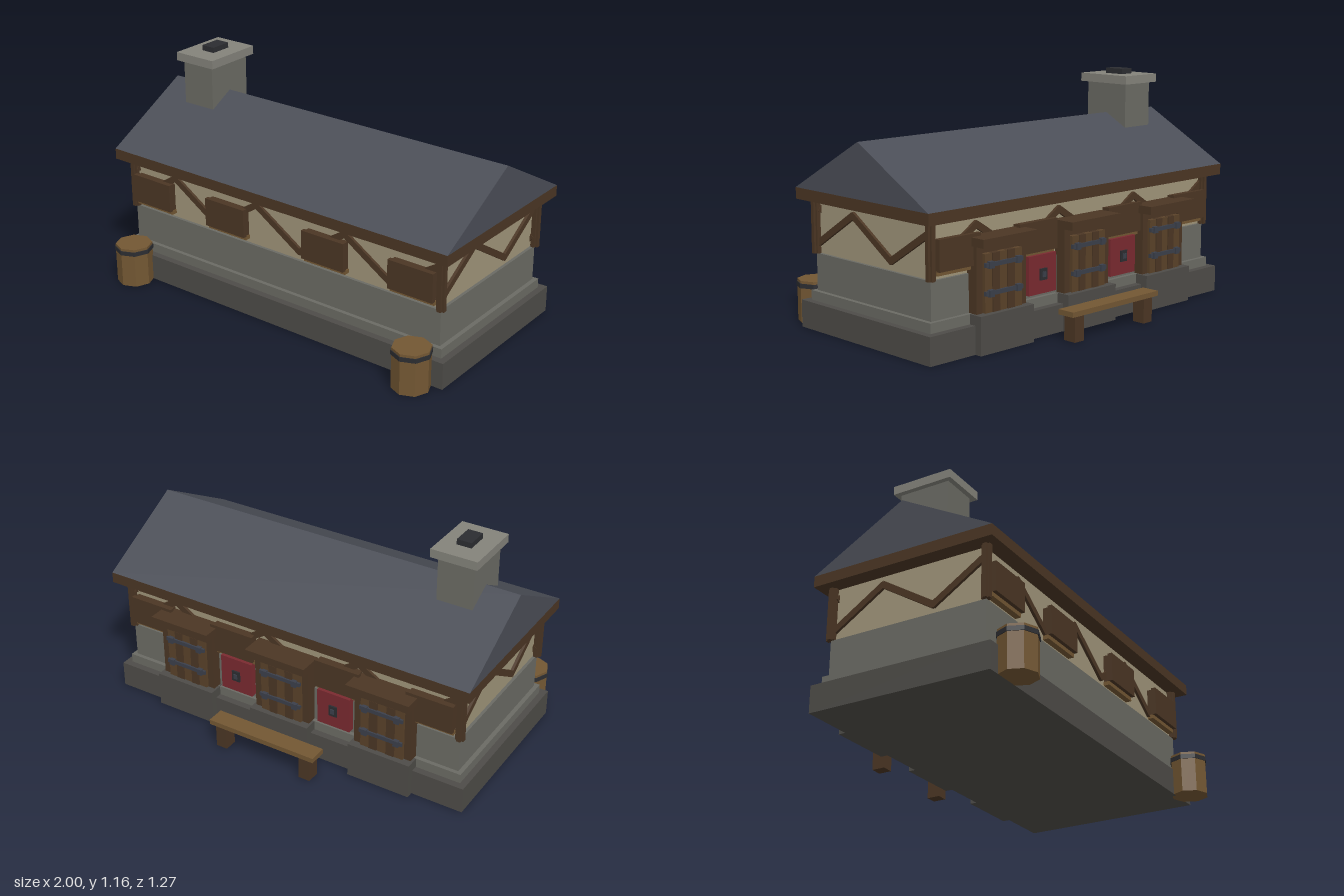
import * as THREE from 'three';

const mat = (color) => new THREE.MeshStandardMaterial({ color, flatShading: true });
const M = {
  roof: mat(0x4b4e57), dark: mat(0x4b3624), wood: mat(0x735733), plank: mat(0x5a4229),
  stone: mat(0x6b6b64), base: mat(0x4e4c48), cap: mat(0x84837b), plaster: mat(0xa0957a),
  iron: mat(0x2c2d31), hinge: mat(0x3b3f4a), red: mat(0x7a2a30),
};
const ZC = 0.018; // middle of the house in z

// Box given by its lower and upper limits on each axis
function box(parent, name, m, x0, x1, y0, y1, z0, z1) {
  const mesh = new THREE.Mesh(new THREE.BoxGeometry(x1 - x0, y1 - y0, z1 - z0), m);
  mesh.position.set((x0 + x1) / 2, (y0 + y1) / 2, (z0 + z1) / 2);
  mesh.name = name;
  parent.add(mesh);
  return mesh;
}

function group(parent, name, x = 0, y = 0, z = 0) {
  const g = new THREE.Group();
  g.name = name;
  g.position.set(x, y, z);
  parent.add(g);
  return g;
}

// Zigzag timbers on a wall: starts low at the left, ends high at the right
function zigzag(parent, width, count, depth) {
  const step = width / count, low = 0.405, high = 0.575;
  for (let i = 0; i < count; i++) {
    const rise = i % 2 === 0 ? high - low : low - high;
    const brace = box(parent, 'brace', M.dark, 0, Math.hypot(step, rise) + 0.012, 0, 0.032, 0, 0.024);
    brace.position.set(-width / 2 + step * (i + 0.5), (low + high) / 2, depth);
    brace.rotation.z = Math.atan2(rise, step);
  }
}

// Shuttered windows along a long wall
function windows(parent) {
  for (const x of [-0.79, -0.305, 0.295, 0.787]) {
    const w = group(parent, 'window', x);
    box(w, 'windowSill', M.wood, -0.12, 0.12, 0.38, 0.4, 0.39, 0.425);
    box(w, 'windowFrame', M.dark, -0.115, 0.115, 0.4, 0.54, 0.39, 0.425);
    box(w, 'shutter', M.dark, -0.122, 0.122, 0.4, 0.545, 0.422, 0.444);
  }
}

// Plank door with step, frame, strap hinges and canopy (outward is -z)
function door(parent, x) {
  const d = group(parent, 'door', x);
  box(d, 'doorStep', M.base, -0.165, 0.165, 0, 0.18, -0.483, -0.38);
  box(d, 'doorBacking', M.dark, -0.14, 0.14, 0.18, 0.49, -0.43, -0.38);
  for (const s of [-1, 1])
    box(d, 'doorPost', M.dark, s * 0.135 - 0.018, s * 0.135 + 0.018, 0.18, 0.455, -0.443, -0.38);
  box(d, 'lintel', M.dark, -0.153, 0.153, 0.455, 0.49, -0.443, -0.38);
  for (let i = 0; i < 5; i++) {
    const px = -0.115 + i * 0.046;
    box(d, 'plank', i % 2 ? M.dark : M.plank, px, px + 0.043, 0.18, 0.45, -0.455 - (i % 2) * 0.003, -0.42);
  }
  for (const y of [0.27, 0.4]) {
    box(d, 'strapHinge', M.hinge, -0.115, 0.115, y - 0.01, y + 0.01, -0.466, -0.45);
    for (const hx of [-0.085, 0.085])
      box(d, 'hingeStud', M.hinge, hx - 0.014, hx + 0.014, y - 0.016, y + 0.016, -0.474, -0.45);
  }
  box(d, 'canopy', M.dark, -0.167, 0.167, 0.49, 0.53, -0.506, -0.38);
}

function barrel(parent, x) {
  const b = group(parent, 'barrel', x, 0, 0.54);
  const drum = (name, m, r, y0, y1) => {
    const mesh = new THREE.Mesh(new THREE.CylinderGeometry(r, r, y1 - y0, 8), m);
    mesh.position.y = (y0 + y1) / 2;
    mesh.name = name;
    b.add(mesh);
  };
  drum('barrelStaves', M.wood, 0.093, 0, 0.195);
  drum('barrelHoop', M.iron, 0.097, 0.172, 0.194);
  drum('barrelLid', M.wood, 0.093, 0.195, 0.207);
}

export function createModel() {
  const model = new THREE.Group();
  model.name = 'house';

  // Stepped stone base and plaster upper wall
  const ring = (name, m, hx, hz, y0, y1) => box(model, name, m, -hx, hx, y0, y1, ZC - hz, ZC + hz);
  ring('foundation', M.base, 0.99, 0.465, 0, 0.133);
  ring('plinth', M.stone, 0.957, 0.43, 0.133, 0.18);
  ring('stoneWall', M.stone, 0.935, 0.41, 0.18, 0.36);
  ring('plasterWall', M.plaster, 0.92, 0.395, 0.36, 0.62);
  ring('eaves', M.dark, 1, 0.475, 0.62, 0.675);

  // Gabled roof: triangle extruded along x
  const gable = new THREE.Shape();
  gable.moveTo(-0.475, 0);
  gable.lineTo(0.475, 0);
  gable.lineTo(0, 0.26);
  gable.closePath();
  const roofGeo = new THREE.ExtrudeGeometry(gable, { depth: 2, bevelEnabled: false });
  roofGeo.translate(0, 0, -1).rotateY(Math.PI / 2);
  const roof = new THREE.Mesh(roofGeo, M.roof);
  roof.name = 'roof';
  roof.position.set(0, 0.675, ZC);
  model.add(roof);

  // Chimney
  box(model, 'chimney', M.stone, -0.825, -0.64, 0.7, 1.09, -0.112, 0.148);
  box(model, 'chimneyCap', M.cap, -0.85, -0.612, 1.09, 1.133, -0.139, 0.173);
  box(model, 'flue', M.iron, -0.768, -0.693, 1.133, 1.16, -0.04, 0.072);

  // Paired corner posts
  for (const sx of [-1, 1]) for (const sz of [-1, 1]) {
    const corner = group(model, 'cornerPost', sx * 0.935, 0, ZC + sz * 0.41);
    box(corner, 'post', M.dark, -0.021, 0.021, 0.36, 0.62, -0.01, 0.01);
    box(corner, 'post', M.dark, -0.01, 0.01, 0.36, 0.62, -0.021, 0.021);
  }

  // Timbering and windows, one group per wall
  for (let i = 0; i < 4; i++) {
    const wall = group(model, ['front', 'left', 'back', 'right'][i] + 'Timbering', 0, 0, ZC);
    wall.rotation.y = (i * Math.PI) / 2;
    if (i % 2) zigzag(wall, 0.81, 3, 0.922);
    else {
      zigzag(wall, 1.85, 7, 0.397);
      windows(wall);
    }
  }

  // Back side: doors, red notice panels and bench
  for (const x of [-0.56, 0, 0.56]) door(model, x);
  for (const x of [-0.28, 0.28]) {
    const p = group(model, 'noticePanel', x);
    box(p, 'redPanel', M.red, -0.09, 0.09, 0.2, 0.385, -0.425, -0.39);
    box(p, 'panelPlate', M.iron, -0.022, 0.022, 0.265, 0.32, -0.434, -0.42);
    box(p, 'plateStud', M.hinge, -0.01, 0.01, 0.28, 0.305, -0.439, -0.43);
  }
  const bench = group(model, 'bench');
  box(bench, 'benchSeat', M.wood, -0.297, 0.297, 0.125, 0.15, -0.637, -0.545);
  for (const x of [-0.24, 0.24])
    box(bench, 'benchLeg', M.dark, x - 0.03, x + 0.03, 0, 0.125, -0.624, -0.556);

  // Barrels by the front corners
  for (const x of [-0.86, 0.86]) barrel(model, x);

  return model;
}
